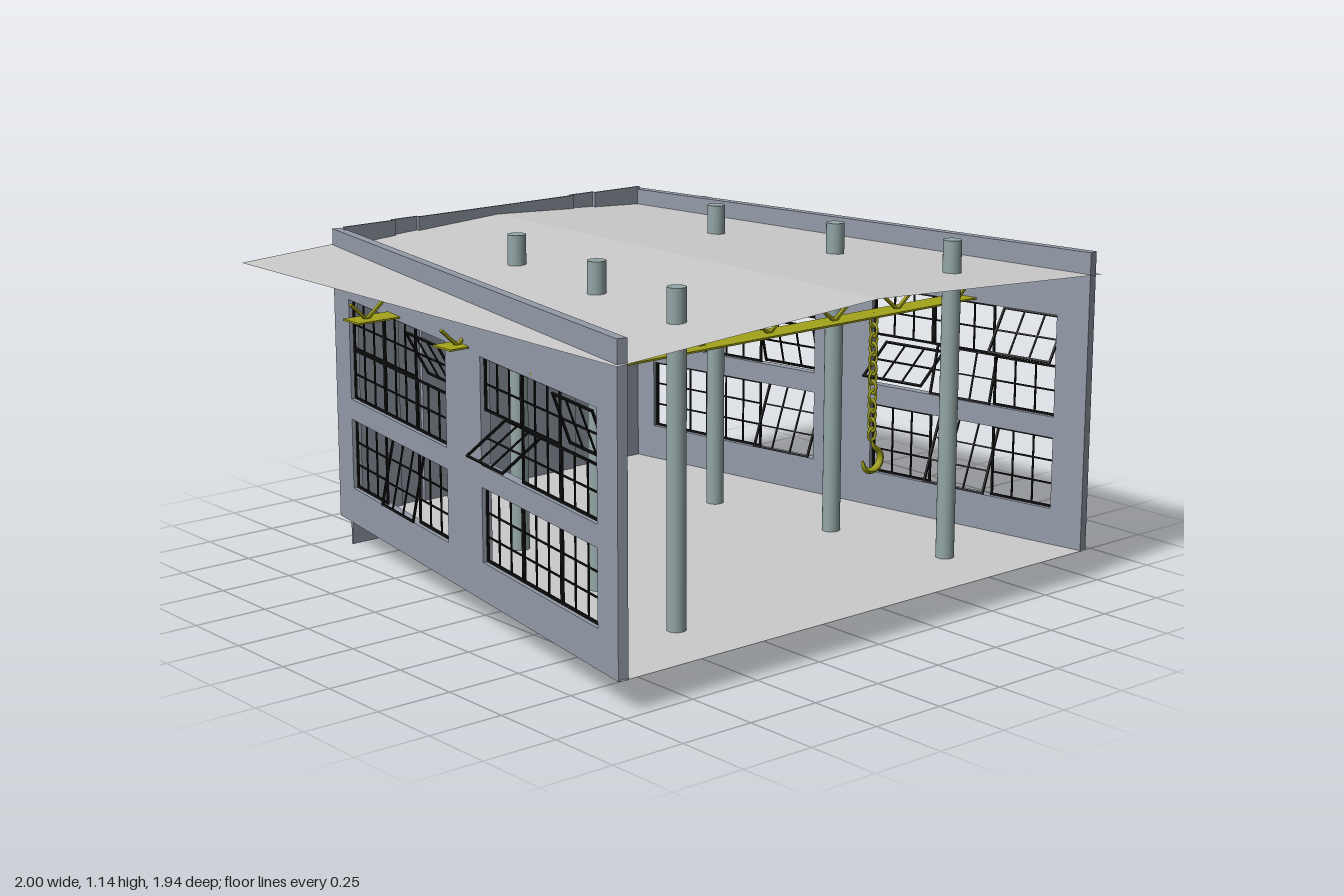
import * as THREE from 'three';
import { mergeGeometries } from 'three/addons/utils/BufferGeometryUtils.js';

const mat = (color, extra = {}) => new THREE.MeshStandardMaterial({ color, ...extra });
const wallMat = mat(0x949ba8);
const columnMat = mat(0x93a5a5);
const yellowMat = mat(0xa3a31a);
const barMat = mat(0x111111);
const sheetMat = mat(0xcccccc, { side: THREE.DoubleSide });

function add(parent, name, geometry, material) {
  const mesh = new THREE.Mesh(geometry, material);
  mesh.name = name;
  parent.add(mesh);
  return mesh;
}
const box = (w, h, d, x = 0, y = 0, z = 0) => new THREE.BoxGeometry(w, h, d).translate(x, y, z);

// Window openings: centre and size along the wall, pane rows
const OPEN_W = 0.731, OPEN_X = 0.487;
const ROWS = [ // bottom, height, cells high
  { y: 0.7, h: 0.17, n: 2 },
  { y: 0.53, h: 0.17, n: 2 },
  { y: 0.22, h: 0.24, n: 3 },
];

// One swinging grid of bars, three cells wide
function paneGrid(w, h, n) {
  const parts = [];
  for (let i = 0; i <= 3; i++) {
    const t = i % 3 ? 0.005 : 0.007;
    parts.push(box(t, h, t, (i / 3 - 0.5) * (w - 0.008)));
  }
  for (let j = 0; j <= n; j++) {
    const t = j % n ? 0.005 : 0.007;
    parts.push(box(w - 0.004, t, t, 0, (j / n - 0.5) * (h - 0.008)));
  }
  return mergeGeometries(parts);
}

// Splayed side wall; local x runs backward, local z points outward.
// tilts[row] lists the swing of its six panes from front to back.
function sideWall(tilts) {
  const wall = new THREE.Group();
  wall.name = 'sideWall';
  const L = 0.9715, T = 0.033;
  const shape = new THREE.Shape([[-L, 0.095], [L, 0.095], [L, 1.09], [-L, 1.09]].map(p => new THREE.Vector2(...p)));
  for (const cx of [-OPEN_X, OPEN_X]) {
    for (const [y0, y1] of [[0.22, 0.46], [0.53, 0.87]]) {
      const a = cx - OPEN_W / 2, b = cx + OPEN_W / 2;
      shape.holes.push(new THREE.Path([[a, y0], [a, y1], [b, y1], [b, y0]].map(p => new THREE.Vector2(...p))));
    }
  }
  const slab = new THREE.ExtrudeGeometry(shape, { depth: T, bevelEnabled: false }).translate(0, 0, -T / 2);
  add(wall, 'wallPanel', slab, wallMat);
  const w = OPEN_W / 3;
  ROWS.forEach((row, r) => {
    for (let i = 0; i < 6; i++) {
      const cx = (i < 3 ? -OPEN_X : OPEN_X) + ((i % 3) - 1) * w;
      const pane = add(wall, 'windowPane', paneGrid(w, row.h, row.n), barMat);
      pane.position.set(cx, row.y + row.h / 2, 0);
      pane.rotation.x = tilts[r][i];
    }
  });
  wall.position.set(0.8045, 0, 0);
  wall.rotation.y = Math.PI / 2 + 0.1733;
  return wall;
}

// Roof truss: two flat chords with a zigzag web
function truss(z) {
  const g = new THREE.Group();
  g.name = 'roofTruss';
  const half = 0.9, low = 0.884, high = 0.998;
  const chords = [low, high].map(y => box(half * 2, 0.006, 0.092, 0, y, 0));
  add(g, 'trussChords', mergeGeometries(chords), yellowMat);
  const nodes = [];
  for (let i = -6; i <= 6; i++) nodes.push([i * 0.14, i % 2 ? high : low]);
  nodes.unshift([-half, 0.94]);
  nodes.push([half, 0.94]);
  const web = [];
  for (let i = 0; i < nodes.length - 1; i++) {
    const [x0, y0] = nodes[i], [x1, y1] = nodes[i + 1];
    web.push(box(Math.hypot(x1 - x0, y1 - y0), 0.009, 0.011)
      .rotateZ(Math.atan2(y1 - y0, x1 - x0)).translate((x0 + x1) / 2, (y0 + y1) / 2, 0));
  }
  add(g, 'trussWeb', mergeGeometries(web), yellowMat);
  g.position.z = z;
  return g;
}

// Chain of alternating links with a curved hook
function chainHook(x, z) {
  const g = new THREE.Group();
  g.name = 'chainHook';
  const links = [];
  for (let i = 0; i < 13; i++) {
    const link = new THREE.TorusGeometry(0.016, 0.0045, 6, 14).scale(1, 1.3, 1);
    if (i % 2) link.rotateY(Math.PI / 2);
    links.push(link.translate(0, 0.862 - i * 0.0315, 0));
  }
  add(g, 'chain', mergeGeometries(links), yellowMat);
  const path = new THREE.CatmullRomCurve3([
    [0, 0.462], [0.012, 0.44], [0.035, 0.42], [0.041, 0.395], [0.027, 0.37], [0, 0.361], [-0.027, 0.37], [-0.04, 0.402],
  ].map(p => new THREE.Vector3(p[0], p[1], 0)));
  const steps = 28, sides = 8;
  const hook = new THREE.TubeGeometry(path, steps, 1, sides);
  // taper towards both ends
  const pos = hook.attributes.position, v = new THREE.Vector3();
  for (let i = 0; i < pos.count; i++) {
    const t = Math.floor(i / (sides + 1)) / steps;
    const c = path.getPointAt(t);
    const r = 0.003 + 0.009 * Math.pow(Math.sin(Math.PI * t), 0.7);
    v.fromBufferAttribute(pos, i).sub(c).multiplyScalar(r).add(c);
    pos.setXYZ(i, v.x, v.y, v.z);
  }
  hook.computeVertexNormals();
  add(g, 'hook', hook, yellowMat);
  g.position.set(x, 0, z);
  return g;
}

// Back wall: a sheet with two shallow ribs, extruded upward
function backWall() {
  const inner = [[-0.637, 0], [-0.43, 0], [-0.43, 1], [-0.335, 1], [-0.335, 0], [0.335, 0], [0.335, 1], [0.43, 1], [0.43, 0], [0.637, 0]];
  const rib = 0.013, t = 0.008;
  const front = inner.map(([x, s]) => new THREE.Vector2(x, 0.911 + s * rib));
  const back = inner.map(([x, s]) => {
    const ax = Math.abs(x), grow = ax < 0.4 ? -0.006 : ax < 0.5 ? 0.006 : 0;
    return new THREE.Vector2(Math.sign(x) * (ax + grow), 0.911 + s * rib + t);
  }).reverse();
  return new THREE.ExtrudeGeometry(new THREE.Shape([...front, ...back]), { depth: 1.1, bevelEnabled: false })
    .rotateX(-Math.PI / 2);
}

export function createModel() {
  const model = new THREE.Group();
  model.name = 'workshop';

  // Shallow gabled roof sheet
  let roof = new THREE.PlaneGeometry(2, 1.94, 2, 1).rotateX(-Math.PI / 2);
  const rp = roof.attributes.position;
  for (let i = 0; i < rp.count; i++) rp.setY(i, 1.071 - 0.055 * Math.abs(rp.getX(i)));
  roof = roof.toNonIndexed();
  roof.computeVertexNormals();
  add(model, 'roof', roof, sheetMat);

  // Floor narrowing towards the back
  const floor = new THREE.PlaneGeometry(2, 1.93).rotateX(-Math.PI / 2);
  const fp = floor.attributes.position;
  for (let i = 0; i < fp.count; i++) fp.setX(i, Math.sign(fp.getX(i)) * (fp.getZ(i) > 0 ? 0.985 : 0.65));
  add(model, 'floor', floor.translate(0, 0.099, 0), sheetMat);

  add(model, 'backWall', backWall(), wallMat);

  // Side walls, the second one mirrored
  model.add(sideWall([
    [0.6, 0, 0, -0.5, 0, 0],
    [0, 0.25, 0.95, -0.25, 0, 0],
    [0, 0.4, 0, 0.4, 0, 0],
  ]));
  const mirrored = new THREE.Group();
  mirrored.name = 'mirroredSide';
  mirrored.scale.x = -1;
  mirrored.add(sideWall([
    [0.35, 0, 0, 0.5, 0, 0],
    [0, 0, -0.95, 0, 0, 0],
    [0, 0, 0, 0, -0.2, 0],
  ]));
  model.add(mirrored);

  // Two rows of columns following the splay
  for (const side of [-1, 1]) {
    for (const [x, z] of [[0.572, 0.718], [0.5, 0.258], [0.423, -0.245]]) {
      add(model, 'column', new THREE.CylinderGeometry(0.03, 0.03, 1.145, 24), columnMat)
        .position.set(side * x, 0.5725, z);
    }
  }

  for (const z of [0.49, 0, -0.49]) model.add(truss(z));
  model.add(chainHook(0.455, 0.49), chainHook(-0.42, -0.49));
  return model;
}
